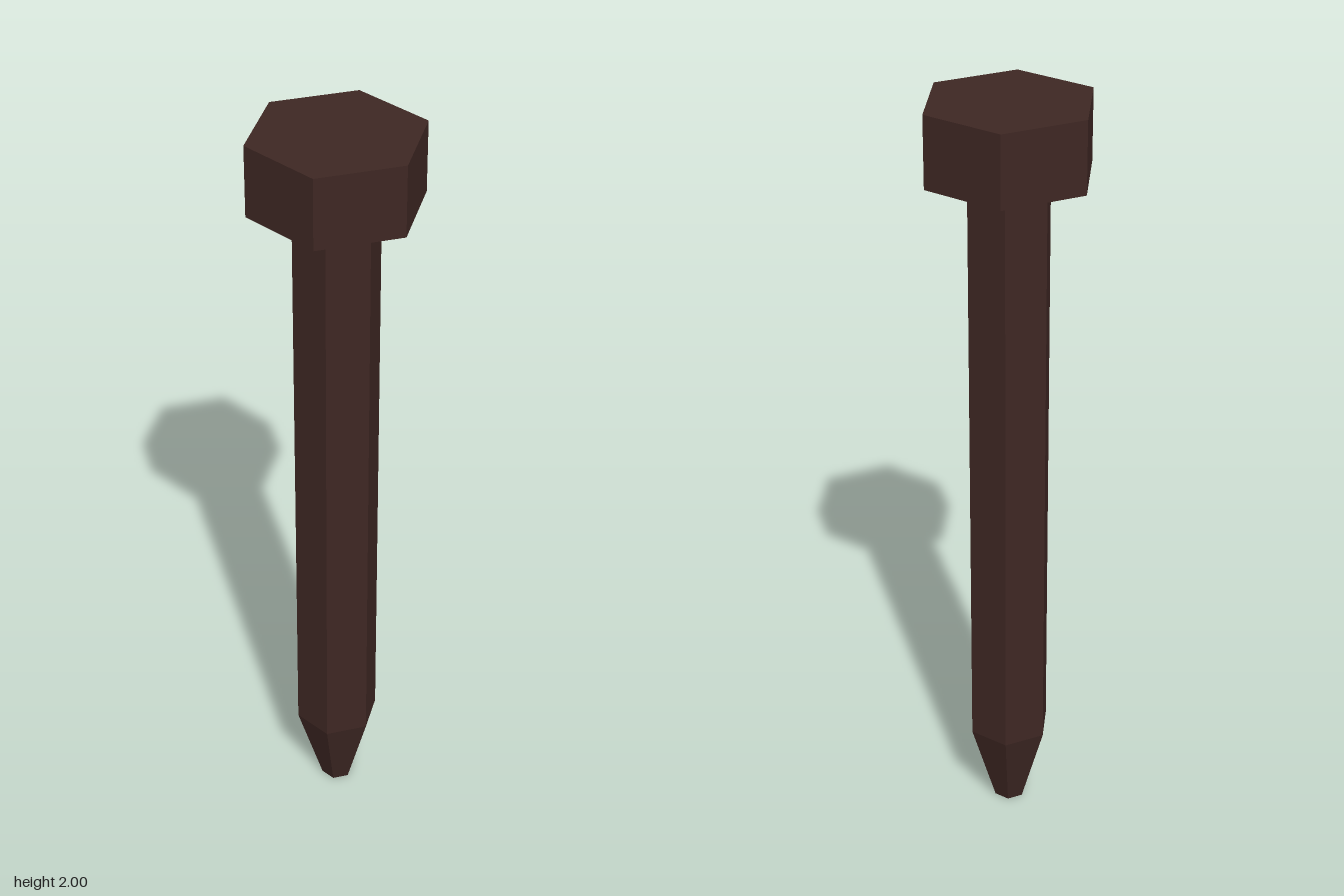
import * as THREE from 'three';

const SIDES = 6;

export function createModel() {
  const group = new THREE.Group();
  group.name = 'hexBolt';
  const material = new THREE.MeshStandardMaterial({ color: 0x3e2723, flatShading: true });

  // Six-sided section between two heights, with corners on the z axis
  const addSection = (name, topRadius, bottomRadius, bottom, top) => {
    const geometry = new THREE.CylinderGeometry(topRadius, bottomRadius, top - bottom, SIDES);
    const mesh = new THREE.Mesh(geometry, material);
    mesh.name = name;
    mesh.position.y = (bottom + top) / 2;
    group.add(mesh);
  };

  addSection('head', 0.22, 0.22, 1.815, 2);
  addSection('shaft', 0.11, 0.11, 0.23, 1.815);
  addSection('taperedTip', 0.11, 0.042, 0, 0.23);

  return group;
}
